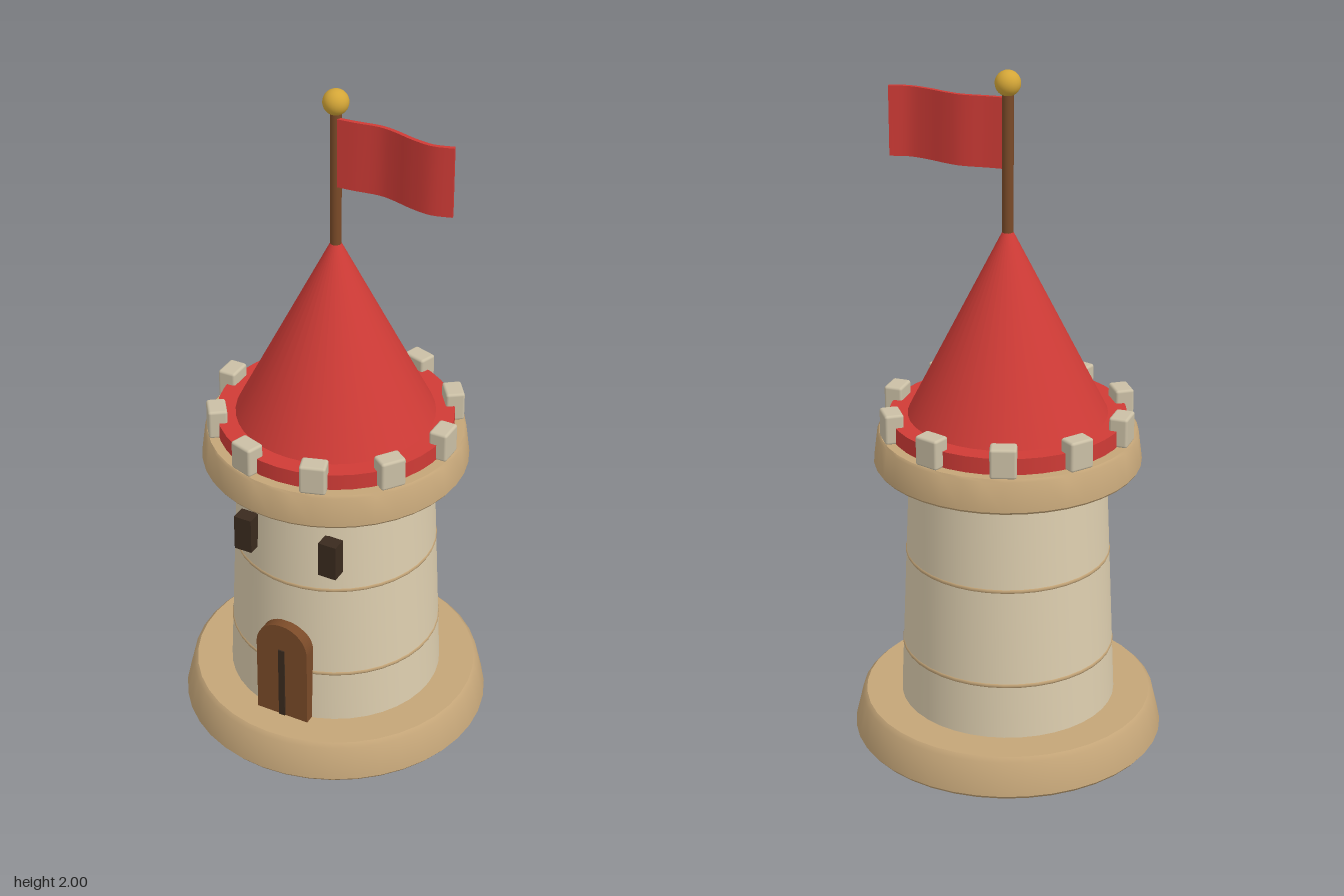
import * as THREE from 'three';
import { toCreasedNormals } from 'three/addons/utils/BufferGeometryUtils.js';
import { RoundedBoxGeometry } from 'three/addons/geometries/RoundedBoxGeometry.js';

const material = (name, color) => {
  const m = new THREE.MeshStandardMaterial({ color });
  m.name = name;
  return m;
};

export function createModel() {
  const model = new THREE.Group();
  model.name = 'tower';

  const wallStone = material('wall stone', 0xdccdae);
  const tanStone = material('tan stone', 0xc4a578);
  const paleStone = material('pale stone', 0xcabfa5);
  const red = material('red', 0xcf3b36);
  const wood = material('wood', 0x7a4a28);
  const dark = material('dark opening', 0x3a2a1e);
  const gold = material('gold', 0xd4a637);

  const add = (name, geometry, mat, x = 0, y = 0, z = 0) => {
    const mesh = new THREE.Mesh(geometry, mat);
    mesh.name = name;
    mesh.position.set(x, y, z);
    model.add(mesh);
    return mesh;
  };
  // Round part from a [radius, height] profile, bottom to top
  const turned = (name, profile, mat) => {
    const points = profile.map(([r, y]) => new THREE.Vector2(r, y));
    return add(name, toCreasedNormals(new THREE.LatheGeometry(points, 40), 0.7), mat);
  };

  // Stone body
  turned('base', [[0, 0], [0.449, 0], [0.457, 0.01], [0.455, 0.02], [0.434, 0.108], [0.422, 0.12], [0, 0.12]], tanStone);
  turned('wall', [[0, 0.11], [0.317, 0.11], [0.284, 0.87], [0, 0.87]], wallStone);
  turned('cornice', [[0, 0.86], [0.38, 0.86], [0.385, 0.867], [0.374, 0.953], [0.368, 0.96], [0, 0.96]], tanStone);

  // Thin bands around the wall
  for (const [y, radius] of [[0.285, 0.304], [0.58, 0.291]]) {
    const band = add('wallBand', new THREE.TorusGeometry(radius, 0.008, 8, 40), tanStone, 0, y, 0);
    band.rotation.x = Math.PI / 2;
  }

  // Battlements
  for (let i = 0; i < 10; i++) {
    const a = (i / 10) * Math.PI * 2;
    const merlon = add('merlon', new RoundedBoxGeometry(0.055, 0.088, 0.075, 2, 0.008), paleStone,
      0.34 * Math.cos(a), 1.002, 0.34 * Math.sin(a));
    merlon.rotation.y = -a;
  }

  // Roof
  add('roofRim', new THREE.CylinderGeometry(0.34, 0.34, 0.05, 40), red, 0, 0.983, 0);
  add('roof', new THREE.ConeGeometry(0.29, 0.575, 40), red, 0, 1.2875, 0);

  // Flagpole and finial
  add('flagpole', new THREE.CylinderGeometry(0.016, 0.016, 0.42, 16), wood, 0, 1.74, 0);
  add('finial', new THREE.SphereGeometry(0.036, 24, 16), gold, 0, 1.964, 0);

  // Waving flag: a thin slab bent along a curve
  const wave = new THREE.SplineCurve([[0.01, 0.008], [0.06, 0.005], [0.13, -0.003], [0.18, 0.005],
    [0.24, 0.023], [0.30, 0.032], [0.357, 0.018]].map(([x, z]) => new THREE.Vector2(x, z)));
  const cloth = new THREE.BoxGeometry(1, 0.2, 0.012, 24, 1, 1);
  const position = cloth.attributes.position;
  for (let i = 0; i < position.count; i++) {
    const t = THREE.MathUtils.clamp(position.getX(i) + 0.5, 0, 1);
    const p = wave.getPoint(t);
    const d = wave.getTangent(t);
    const offset = position.getZ(i);
    position.setX(i, p.x - d.y * offset);
    position.setZ(i, p.y + d.x * offset);
  }
  add('flag', toCreasedNormals(cloth, 0.7), red, 0, 1.822, 0);

  // Arched door with a dark centre seam
  const arch = new THREE.Shape();
  arch.moveTo(-0.083, 0.115);
  arch.lineTo(0.083, 0.115);
  arch.lineTo(0.083, 0.365);
  arch.absarc(0, 0.365, 0.083, 0, Math.PI, false);
  const door = new THREE.ExtrudeGeometry(arch, { depth: 0.045, bevelEnabled: false, curveSegments: 16 });
  add('door', door, wood, 0, 0, 0.288);
  add('doorSeam', new THREE.BoxGeometry(0.02, 0.242, 0.008), dark, 0, 0.239, 0.333);

  // Windows
  for (const side of [-1, 1]) {
    add('window', new THREE.BoxGeometry(0.055, 0.11, 0.045), dark, side * 0.136, 0.711, 0.285);
  }

  return model;
}
